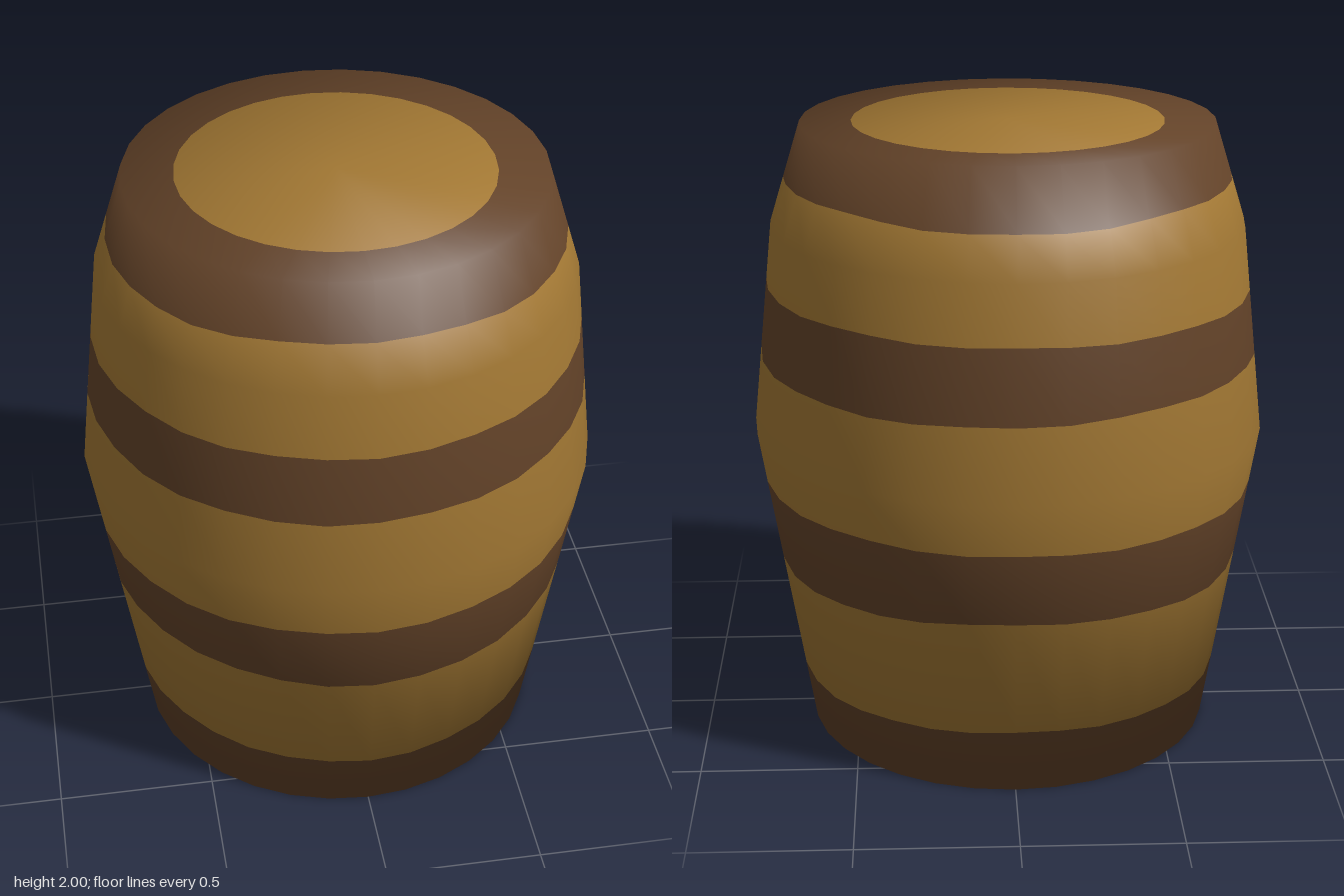
import * as THREE from 'three';

const SIDES = 32;

// Barrel outline from bottom centre to top centre: [radius, height]
const KNOTS = [[0, 0], [0.655, 0], [0.82, 1.02], [0.75, 1.68], [0.65, 2], [0, 2]]
  .map(([r, y]) => new THREE.Vector2(r, y));

// Smooth outline normals, averaged where two segments meet
const SEGMENT_NORMALS = KNOTS.slice(1).map((k, i) => {
  const d = k.clone().sub(KNOTS[i]).normalize();
  return new THREE.Vector2(d.y, -d.x);
});
const NORMALS = KNOTS.map((_, i) => {
  const a = SEGMENT_NORMALS[Math.max(i - 1, 0)];
  const b = SEGMENT_NORMALS[Math.min(i, SEGMENT_NORMALS.length - 1)];
  return a.clone().add(b).normalize();
});

// Value at outline parameter t (knot index plus fraction)
function along(list, t) {
  const i = Math.min(Math.floor(t), list.length - 2);
  return list[i].clone().lerp(list[i + 1], t - i);
}

// Outline parameter of a height on the side wall
function atHeight(y) {
  let i = 1;
  while (i < 3 && y > KNOTS[i + 1].y) i++;
  return i + (y - KNOTS[i].y) / (KNOTS[i + 1].y - KNOTS[i].y);
}

// Slightly wavy edge between a hoop and the staves
const edge = (y, amp, waves, phase) => (a) =>
  atHeight(y + amp * Math.cos(waves * a - phase) + 0.003 * Math.sin(9 * a + y * 20));
const at = (t) => () => t;

// One coloured strip of the surface, following a list of edges
function strip(name, material, edges) {
  const geometry = new THREE.LatheGeometry(edges.map((e) => along(KNOTS, e(0))), SIDES);
  const { position, normal } = geometry.attributes;
  for (let i = 0; i < position.count; i++) {
    const a = (Math.floor(i / edges.length) % SIDES) / SIDES * Math.PI * 2;
    const t = edges[i % edges.length](a);
    const p = along(KNOTS, t);
    const n = along(NORMALS, t).normalize();
    position.setXYZ(i, p.x * Math.sin(a), p.y, p.x * Math.cos(a));
    normal.setXYZ(i, n.x * Math.sin(a), n.y, n.x * Math.cos(a));
  }
  const mesh = new THREE.Mesh(geometry, material);
  mesh.name = name;
  return mesh;
}

export function createModel() {
  const wood = new THREE.MeshStandardMaterial({ name: 'oakWood', color: 0xa17733 });
  const band = new THREE.MeshStandardMaterial({ name: 'darkBrown', color: 0x624228 });

  const headBottom = at(0.49 / 0.655);
  const headTop = at(5 - 0.49 / 0.65);
  const e1 = edge(0.207, 0.009, 3, Math.PI);
  const e2 = edge(0.597, 0.015, 3, Math.PI);
  const e3 = edge(0.843, 0.012, 1, 2.27);
  const e4 = edge(1.263, 0.009, 2, 2.09);
  const e5 = edge(1.484, 0.011, 1, 2.27);
  const e6 = edge(1.821, 0.01, 3, 0);

  const barrel = new THREE.Group();
  barrel.name = 'barrel';
  barrel.add(
    strip('bottomHead', wood, [at(0), headBottom]),
    strip('bottomHoop', band, [headBottom, at(1), e1]),
    strip('lowerStaves', wood, [e1, e2]),
    strip('lowerHoop', band, [e2, e3]),
    strip('middleStaves', wood, [e3, at(2), e4]),
    strip('upperHoop', band, [e4, e5]),
    strip('upperStaves', wood, [e5, at(3), e6]),
    strip('topHoop', band, [e6, at(4), headTop]),
    strip('topHead', wood, [headTop, at(5)]),
  );
  return barrel;
}
